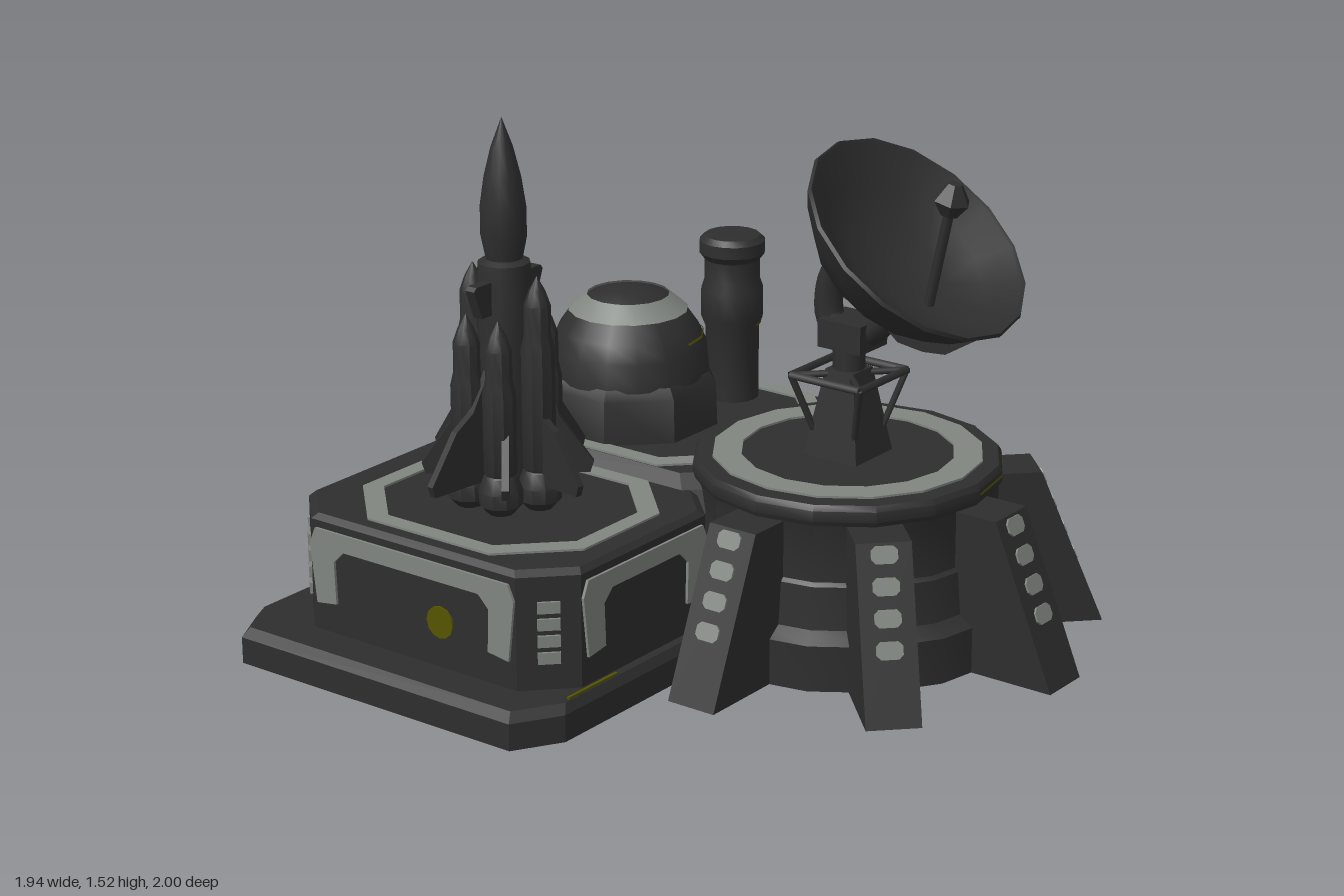
import * as THREE from 'three';
import { toCreasedNormals } from 'three/addons/utils/BufferGeometryUtils.js';

const V2 = (x, y) => new THREE.Vector2(x, y);
const V3 = (x, y, z) => new THREE.Vector3(x, y, z);
const mat = (name, color) => new THREE.MeshStandardMaterial({ name, color, side: THREE.DoubleSide });

export function createModel() {
  const dark = mat('charcoal', 0x2e2e2e);
  const grey = mat('stripe grey', 0x808580);
  const yellow = mat('dull yellow', 0x555500);
  const model = new THREE.Group();
  model.name = 'spaceBase';

  const add = (parent, name, geo, material = dark, x = 0, y = 0, z = 0) => {
    const m = new THREE.Mesh(geo, material);
    m.name = name;
    m.position.set(x, y, z);
    parent.add(m);
    return m;
  };
  const group = (parent, name, x = 0, y = 0, z = 0) => {
    const g = new THREE.Group();
    g.name = name;
    g.position.set(x, y, z);
    parent.add(g);
    return g;
  };
  const lathe = (pts, seg = 16, start = 0, sweep = Math.PI * 2) =>
    toCreasedNormals(new THREE.LatheGeometry(pts.map(p => V2(p[0], p[1])), seg, start, sweep), 0.6);
  const poly = pts => new THREE.Shape(pts.map(p => V2(p[0], p[1])));
  const extrude = (shape, depth) => new THREE.ExtrudeGeometry(shape, { depth, bevelEnabled: false })
    .translate(0, 0, -depth / 2);
  // Round bar between two points
  const bar = (a, b, r) => new THREE.TubeGeometry(new THREE.LineCurve3(a, b), 1, r, 6);

  // Octagonal outline on the ground plane, as [x, z] pairs
  const oct = (cx, cz, hx, hz, c) => [
    [hx, hz - c], [hx - c, hz], [c - hx, hz], [-hx, hz - c],
    [-hx, c - hz], [c - hx, -hz], [hx - c, -hz], [hx, c - hz],
  ].map(([x, z]) => [cx + x, cz + z]);

  // Skin over equal-length rings of points
  const loft = rings => {
    const pos = [], idx = [], n = rings[0].length;
    rings.forEach(r => r.forEach(p => pos.push(...p)));
    for (let k = 0; k < rings.length - 1; k++) {
      for (let i = 0; i < n; i++) {
        const j = (i + 1) % n, a = k * n + i, b = k * n + j;
        idx.push(a, a + n, b, b, a + n, b + n);
      }
    }
    const g = new THREE.BufferGeometry();
    g.setAttribute('position', new THREE.Float32BufferAttribute(pos, 3));
    g.setIndex(idx);
    return toCreasedNormals(g, 0.3);
  };
  // Flat plate lying at height y, with holes
  const flatPlate = (outer, holes, y, thick) => {
    const s = poly(outer);
    holes.forEach(h => s.holes.push(new THREE.Path(h.map(p => V2(p[0], p[1])))));
    const g = thick ? extrude(s, thick) : new THREE.ShapeGeometry(s);
    return g.rotateX(Math.PI / 2).translate(0, y, 0);
  };

  // Foundation slab, open underneath
  const outline = [
    [-0.84, -0.92], [-0.11, -0.92], [0, -1], [0.67, -0.985], [0.74, -0.92], [0.825, -0.73],
    [0.825, -0.39], [0.785, -0.37], [0.785, -0.28], [0.825, -0.26], [0.825, -0.03],
    [0.7, 0.17], [-0.84, 0.17], [-0.97, 0.09], [-0.97, -0.85],
  ];
  const shrink = s => outline.map(([x, z]) => [-0.07 + (x + 0.07) * s, -0.41 + (z + 0.41) * s]);
  const atY = (pts, y) => pts.map(([x, z]) => [x, y, z]);
  const slab = group(model, 'foundation');
  add(slab, 'slabSides', loft([atY(outline, 0.01), atY(outline, 0.085), atY(shrink(0.975), 0.11)]));
  add(slab, 'slabTop', flatPlate(shrink(0.975),
    [oct(-0.48, -0.345, 0.34, 0.45, 0.14), oct(0.3, -0.48, 0.38, 0.28, 0.12)], 0.11));
  add(slab, 'slabTrim', new THREE.BoxGeometry(0.4, 0.006, 0.008), yellow, -0.38, 0.113, -0.875);
  add(slab, 'slabTrim', new THREE.BoxGeometry(0.2, 0.006, 0.008), yellow, -0.7, 0.113, 0.148);

  // Chamfered buildings with roof ring and arch stripes
  const building = (name, cx, cz, hx, hz, levels, tilt) => {
    const c = 0.12, g = group(model, name, cx, 0, cz), top = levels.at(-1)[0];
    const rings = levels.map(([y, d]) => atY(oct(0, 0, hx - d, hz - d, c), y));
    rings.push(rings[0].map(() => [0, top, 0]));
    add(g, 'shell', loft(rings));
    add(g, 'roofStripe', flatPlate(oct(0, 0.015, hx - 0.05, hz - 0.088, 0.175),
      [oct(0, 0.015, hx - 0.1, hz - 0.138, 0.155)], top + 0.004, 0.006), grey);
    for (let i = 0; i < 4; i++) {
      const side = group(g, 'wall');
      side.rotation.y = i * Math.PI / 2;
      const [w, d] = i % 2 ? [hz - c, hx] : [hx - c, hz];
      const arch = poly([[0.02 - w, 0.19], [-w, 0.36], [0.02 - w, 0.405], [w - 0.02, 0.405], [w, 0.36], [w - 0.02, 0.19],
        [w - 0.09, 0.2], [w - 0.085, 0.32], [w - 0.12, 0.355], [0.12 - w, 0.355], [0.085 - w, 0.32], [0.09 - w, 0.2]]
        .map(([x, y]) => [x, y - 0.38]));
      add(side, 'archStripe', extrude(arch, 0.008), grey, 0, 0.38, d + 0.005).rotation.x = tilt;
    }
    return g;
  };
  const pad = building('launchBuilding', -0.455, -0.345, 0.385, 0.475, [[0.05, 0], [0.425, 0], [0.44, 0.015]], 0);
  building('domeBuilding', 0.29, -0.33, 0.42, 0.46, [[0.1, 0.03], [0.38, 0], [0.44, 0.02], [0.475, 0.05]], 0.1);
  add(pad, 'wallMark', new THREE.CylinderGeometry(0.045, 0.045, 0.006, 12).rotateZ(Math.PI / 2), yellow, -0.39, 0.24, 0.1);

  // Lamps on the two outer corners of the launch building
  for (const s of [1, -1]) {
    const corner = group(pad, 'cornerLamps', -0.325, 0, s * 0.415);
    corner.rotation.y = Math.atan2(-1, s);
    for (let k = 0; k < 4; k++) {
      add(corner, 'lamp', new THREE.BoxGeometry(0.06, 0.032, 0.008), grey, 0, 0.2 + k * 0.047, 0.005);
    }
  }

  // Domed hall
  const hall = group(model, 'dome', 0.2, 0, -0.435);
  add(hall, 'domeWall', lathe([[0.26, 0.46], [0.255, 0.6], [0.235, 0.63]], 8)).rotation.y = Math.PI / 8;
  add(hall, 'domeRoof', lathe([[0.23, 0.62], [0.222, 0.7], [0.2, 0.75], [0.165, 0.8], [0.115, 0.84], [0.05, 0.86], [0, 0.862]]));
  add(hall, 'domeStripe', lathe([[0.17, 0.801], [0.117, 0.845]]), grey);
  add(hall, 'domeTrim', lathe([[0.215, 0.728], [0.212, 0.734]], 8, 0, Math.PI), yellow);

  // Chimney
  const chimney = group(model, 'chimney', 0.53, 0, -0.315);
  add(chimney, 'stack', lathe([[0.078, 0.46], [0.078, 0.69], [0.09, 0.72], [0.09, 0.8], [0.08, 0.83],
    [0.08, 0.89], [0.095, 0.91], [0.095, 0.945], [0.08, 0.96], [0, 0.965]]));
  add(chimney, 'stackMark', lathe([[0.083, 0.697], [0.086, 0.705]], 2, 0, Math.PI / 4), yellow);

  // Round tower with sloped buttresses
  const tower = group(model, 'tower', 0.255, 0, 0.285);
  add(tower, 'towerBody', lathe([[0.48, 0], [0.48, 0.13], [0.44, 0.16], [0.43, 0.28], [0.42, 0.29], [0.42, 0.45],
    [0.43, 0.465], [0.43, 0.495], [0.42, 0.51], [0, 0.512]]));
  add(tower, 'capTrim', lathe([[0.432, 0.478], [0.432, 0.486]], 8, 0, Math.PI), yellow);
  const circle = r => Array.from({ length: 16 }, (_, i) =>
    [r * Math.cos(i * Math.PI / 8), r * Math.sin(i * Math.PI / 8)]);
  add(tower, 'towerStripe', flatPlate(circle(0.375), [circle(0.295)], 0.516, 0.006), grey);
  for (let i = 0; i < 5; i++) {
    const leg = group(tower, 'buttress');
    leg.rotation.y = -i * Math.PI / 4;
    add(leg, 'buttressBody', extrude(poly([[0.4, 0], [0.715, 0], [0.53, 0.45], [0.4, 0.45]]), 0.15));
    for (let k = 0; k < 4; k++) {
      const y = 0.19 + k * 0.077;
      add(leg, 'buttressLamp', extrude(poly(oct(0, 0, 0.036, 0.024, 0.012)), 0.008).rotateY(Math.PI / 2),
        grey, 0.717 - 0.411 * y, y, 0).rotation.z = 0.39;
    }
  }

  // Dish pedestal with strut frame
  const mount = group(tower, 'dishMount', 0, 0, 0);
  add(mount, 'pedestal', toCreasedNormals(new THREE.CylinderGeometry(0.065, 0.125, 0.25, 4).rotateY(Math.PI / 4), 0.3), dark, 0, 0.63, 0);
  add(mount, 'neck', new THREE.CylinderGeometry(0.045, 0.045, 0.14, 10), dark, 0, 0.78, 0);
  for (let i = 0; i < 4; i++) {
    const a = i * Math.PI / 2 + Math.PI / 4, b = a + Math.PI / 2;
    const p = (t, r, y) => V3(r * Math.cos(t), y, r * Math.sin(t));
    add(mount, 'strut', bar(p(a, 0.095, 0.58), p(a, 0.16, 0.74), 0.01));
    add(mount, 'frameRail', bar(p(a, 0.16, 0.74), p(b, 0.16, 0.74), 0.012));
    add(mount, 'frameBrace', bar(p(a, 0.16, 0.74), V3(0, 0.74, 0), 0.01));
  }
  add(mount, 'yoke', new THREE.BoxGeometry(0.13, 0.08, 0.14), dark, 0, 0.86, 0.01);
  const arm = pts => new THREE.TubeGeometry(
    new THREE.CatmullRomCurve3(pts.map(([y, z]) => V3(0, y, z))), 12, 0.04, 8);
  add(mount, 'rearArm', arm([[0.85, 0], [0.88, -0.06], [0.98, -0.065], [1.08, -0.02]]));
  add(mount, 'frontArm', arm([[0.85, 0.03], [0.88, 0.08], [0.93, 0.13]]));

  // Dish with a rib along its back, and feed
  const dish = group(tower, 'dish', 0.003, 1.165, 0.22);
  dish.rotation.x = 0.7;
  add(dish, 'bowl', lathe([[0, -0.22], [0.15, -0.205], [0.24, -0.145], [0.31, -0.065], [0.345, -0.01], [0.34, 0],
    [0.33, -0.005], [0.25, -0.065], [0.15, -0.115], [0, -0.135]]));
  const half = [[0.32, -0.03], [0.275, -0.165], [0.225, -0.215], [0.155, -0.26]];
  const inner = [[0.24, -0.11], [0.15, -0.16]];
  const flip = pts => pts.map(([u, v]) => [-u, v]).reverse();
  add(dish, 'backRib', extrude(poly([...half, ...flip(half), ...flip(inner).reverse(), ...[...inner].reverse()]), 0.05)
    .rotateY(Math.PI / 2));
  add(tower, 'feedRod', bar(V3(0, 0.96, 0.25), V3(0, 1.26, 0.315), 0.014));
  add(tower, 'feedHead', toCreasedNormals(new THREE.CylinderGeometry(0.02, 0.052, 0.05, 6), 0.3), dark, 0, 1.305, 0.325)
    .rotation.x = 0.2;
  add(tower, 'feedBase', toCreasedNormals(new THREE.CylinderGeometry(0.052, 0.025, 0.04, 6), 0.3), dark, 0, 1.261, 0.316)
    .rotation.x = 0.2;

  // Rocket with boosters and fins
  const rocket = group(model, 'rocket', -0.485, 0, -0.308);
  add(rocket, 'rocketCore', lathe([[0.06, 0.47], [0.075, 0.56], [0.075, 1.08], [0.07, 1.13], [0.05, 1.14], [0.062, 1.2],
    [0.062, 1.28], [0.05, 1.36], [0.03, 1.44], [0, 1.52]], 12));
  for (let i = 0; i < 6; i++) {
    const a = i * Math.PI / 3 + Math.PI / 2, top = i % 3 ? 1 : 1.11;
    const b = group(rocket, 'booster', 0.11 * Math.cos(a), 0, 0.11 * Math.sin(a));
    add(b, 'boosterBody', lathe([[0.03, 0.55], [0.045, 0.58], [0.045, top - 0.2], [0.036, top - 0.16],
      [0.036, top - 0.08], [0.022, top - 0.04], [0, top]], 10));
    add(b, 'boosterBell', lathe([[0.035, 0.465], [0.058, 0.49], [0.06, 0.53], [0.045, 0.57], [0.025, 0.6]], 10));
  }
  for (let i = 0; i < 8; i++) {
    const r = i % 2 ? 0.23 : 0.28;
    add(rocket, 'tailFin', extrude(poly([[0.05, 0.54], [r - 0.01, 0.54], [r, 0.57], [r - 0.09, 0.7],
      [0.13, 0.74], [0.05, 0.88]]), 0.02)).rotation.y = i * Math.PI / 4 - 0.12;
  }
  add(rocket, 'upperFins', extrude(poly([[-0.11, 1], [0.11, 1], [0.14, 1.08], [0.13, 1.09], [-0.13, 1.09], [-0.14, 1.08]]), 0.03));

  return model;
}
